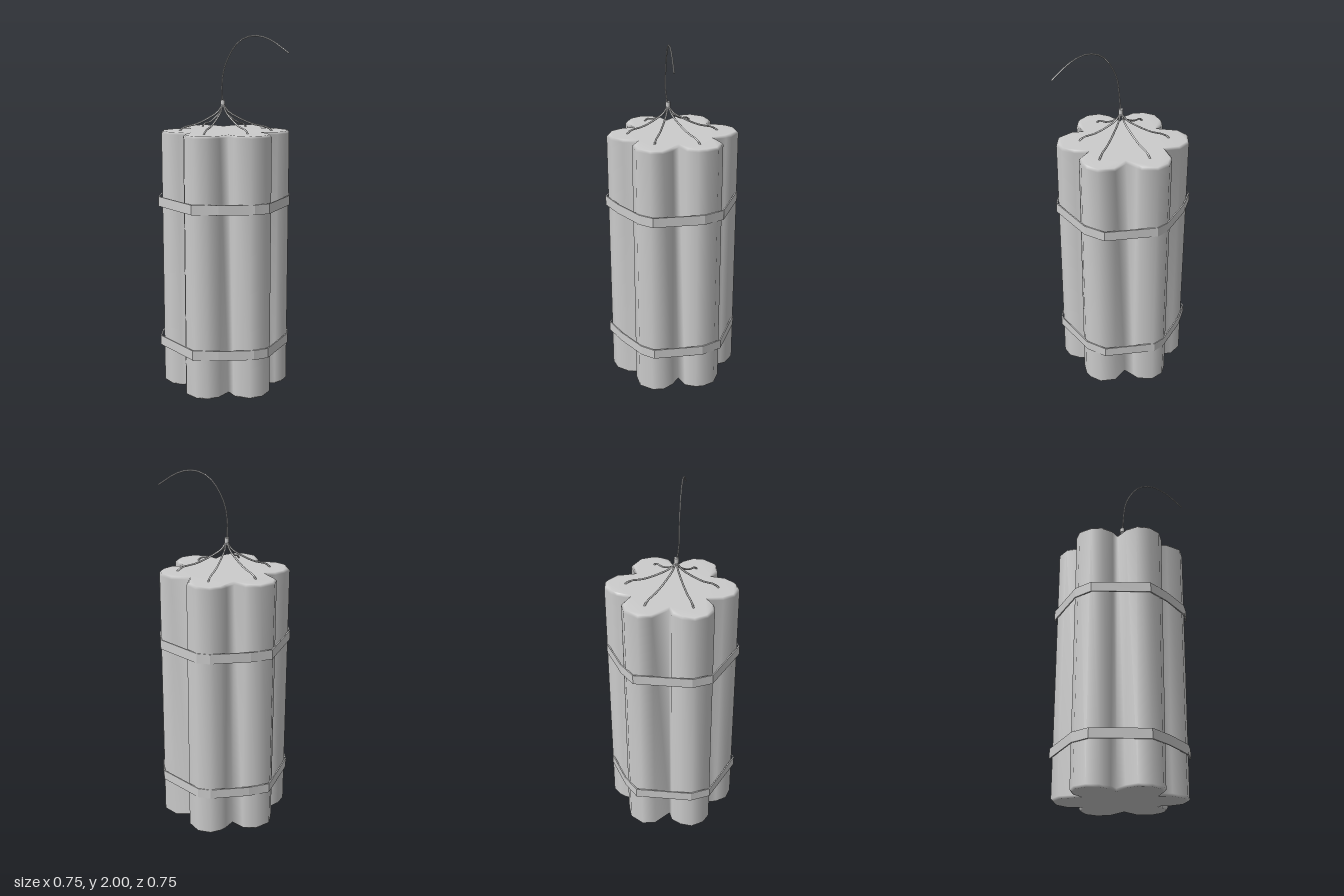
import * as THREE from 'three';
import { mergeVertices } from 'three/addons/utils/BufferGeometryUtils.js';

const material = new THREE.MeshStandardMaterial({ color: 0xcccccc });

// Outline of the six joined sticks, as x, z pairs; one row per lobe, starting in a valley
const BUNDLE = [
  [-0.164, -0.222, -0.147, -0.29, -0.13, -0.322, -0.082, -0.366, -0.005, -0.373, 0.065, -0.322, 0.073, -0.29],
  [0.093, -0.222, 0.182, -0.256, 0.265, -0.218, 0.295, -0.155, 0.297, -0.107, 0.273, -0.047],
  [0.2, -0.015, 0.26, 0.024, 0.3, 0.08, 0.297, 0.147, 0.245, 0.216, 0.15, 0.23],
  [0.1, 0.2, 0.09, 0.276, 0.043, 0.335, -0.025, 0.357, -0.096, 0.335, -0.136, 0.276],
  [-0.148, 0.198, -0.195, 0.23, -0.259, 0.238, -0.32, 0.208, -0.36, 0.143, -0.35, 0.075, -0.317, 0.02],
  [-0.265, 0, -0.352, -0.077, -0.364, -0.151, -0.313, -0.228, -0.236, -0.252],
].flat();

// Outline of a strap pulled tight around the lobes
const STRAP = [
  -0.011, -0.377, 0.252, -0.256, 0.308, -0.143, 0.318, 0.137, 0.266, 0.206, 0.1, 0.312,
  -0.032, 0.373, -0.325, 0.242, -0.374, 0.137, -0.37, -0.183, -0.276, -0.262, -0.082, -0.368,
];

// Flat x, z pairs to shape points (shape y becomes -z once laid down)
function toPoints(flat) {
  const points = [];
  for (let i = 0; i < flat.length; i += 2) points.push(new THREE.Vector2(flat[i], -flat[i + 1]));
  return points;
}

function addMesh(group, geometry, name) {
  const mesh = new THREE.Mesh(geometry, material);
  mesh.name = name;
  group.add(mesh);
  return mesh;
}

// Joined sticks: smooth walls with a narrow chamfer at both ends
function bundleGeometry(height) {
  const bevel = 0.012;
  let geometry = new THREE.ExtrudeGeometry(new THREE.Shape(toPoints(BUNDLE)), {
    depth: height - 2 * bevel,
    bevelSize: bevel,
    bevelThickness: bevel,
    bevelOffset: -bevel,
    bevelSegments: 1,
  });
  geometry.rotateX(-Math.PI / 2).translate(0, bevel, 0);
  geometry.deleteAttribute('normal');
  geometry.deleteAttribute('uv');
  geometry = mergeVertices(geometry, 1e-4);
  geometry.computeVertexNormals();
  return geometry;
}

// Thin strap: the outline with a slightly smaller hole
function strapGeometry(height) {
  const outer = toPoints(STRAP);
  const center = new THREE.Vector2(-0.03, 0);
  const shape = new THREE.Shape(outer);
  shape.holes.push(new THREE.Path(outer.map((p) => p.clone().sub(center).multiplyScalar(0.98).add(center))));
  return new THREE.ExtrudeGeometry(shape, { depth: height, bevelEnabled: false }).rotateX(-Math.PI / 2);
}

// Cord with closed ends
function addCord(group, points, radius, segments, name) {
  const curve = new THREE.CatmullRomCurve3(points);
  addMesh(group, new THREE.TubeGeometry(curve, segments, radius, 6), name);
  for (const t of [0, 1]) {
    const cap = addMesh(group, new THREE.CircleGeometry(radius, 6), name + 'End');
    cap.position.copy(curve.getPoint(t));
    cap.lookAt(cap.position.clone().addScaledVector(curve.getTangent(t), t ? 1 : -1));
  }
}

export function createModel() {
  const model = new THREE.Group();
  model.name = 'stickBundle';

  addMesh(model, bundleGeometry(1.475), 'sticks');

  [['lowerStrap', 0.235], ['upperStrap', 1.055]].forEach(([name, y]) => {
    addMesh(model, strapGeometry(0.055), name).position.y = y;
  });

  // Six short fuses running from the knot down to the stick tops
  const fuses = new THREE.Group();
  fuses.name = 'fuses';
  model.add(fuses);
  const knotX = -0.034, knotZ = 0.017;
  const ends = [[-0.033, -0.264], [0.202, -0.131], [0.176, 0.113], [-0.026, 0.248], [-0.254, 0.129], [-0.256, -0.131]];
  const drop = [[0, 1.63], [0.1, 1.585], [0.33, 1.545], [0.62, 1.51], [0.9, 1.492], [1, 1.468]];
  ends.forEach(([x, z]) => {
    const points = drop.map(([t, y]) => new THREE.Vector3(
      THREE.MathUtils.lerp(knotX, x, t), y, THREE.MathUtils.lerp(knotZ, z, t)));
    addCord(fuses, points, 0.005, 12, 'shortFuse');
  });

  // Knot holding the fuses together
  const knot = addMesh(model, new THREE.CylinderGeometry(0.013, 0.013, 0.026, 10), 'knot');
  knot.position.set(knotX, 1.633, knotZ);

  // Long fuse arching over to the left
  const arch = [[-0.034, 1.63], [-0.033, 1.72], [-0.015, 1.83], [0.05, 1.942], [0.105, 1.982], [0.175, 1.996], [0.26, 1.975], [0.372, 1.905]];
  addCord(model, arch.map(([x, y], i) => new THREE.Vector3(x, y, i ? 0.031 : 0.02)), 0.004, 16, 'longFuse');

  return model;
}
